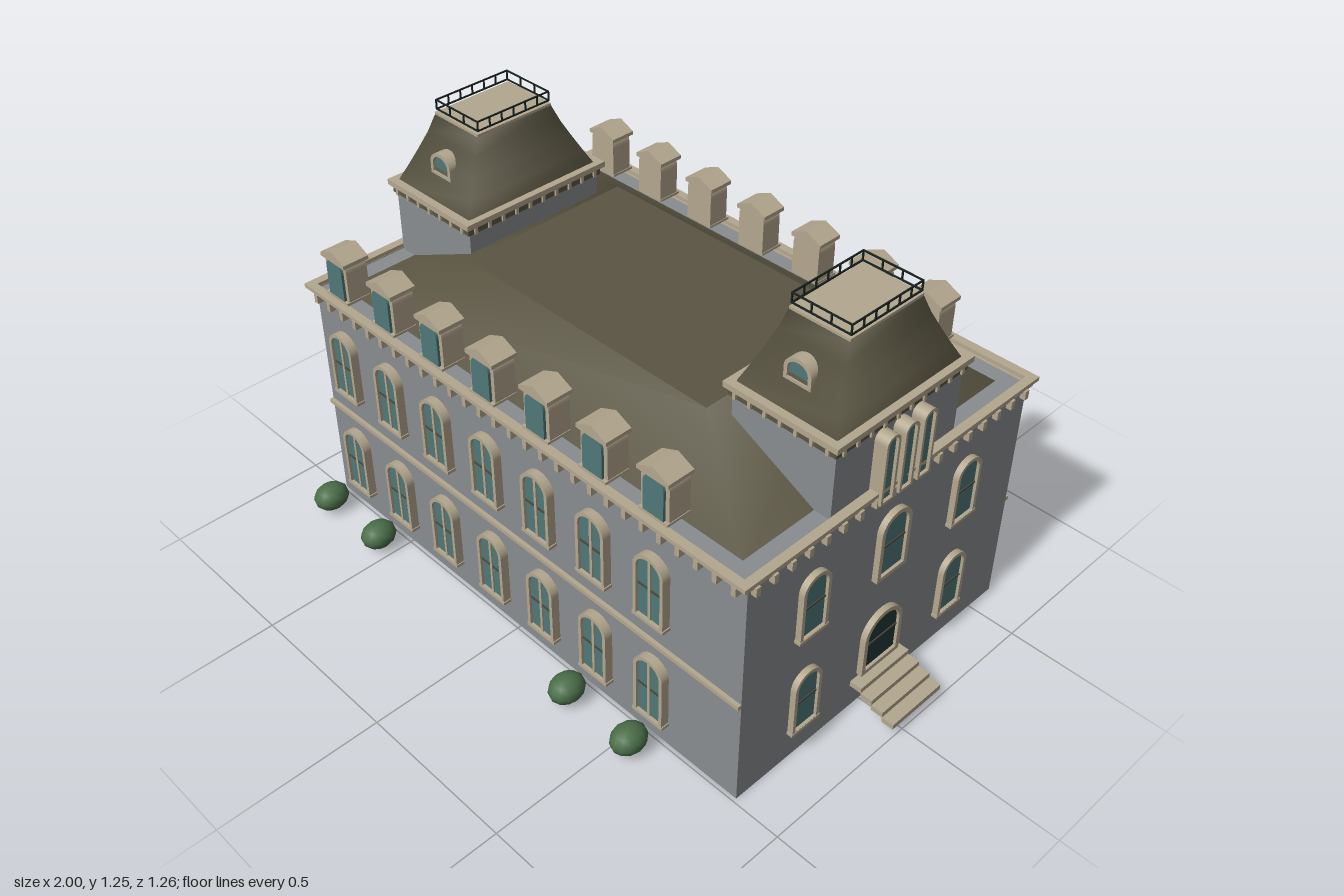
import * as THREE from 'three';

const mat = (name, color) => {
  const m = new THREE.MeshStandardMaterial({ color });
  m.name = name;
  return m;
};

export function createModel() {
  const wall = mat('wall grey', 0x8a8d90);
  const trim = mat('stone trim', 0xb3a78e);
  const roofMat = mat('roof brown', 0x5a5542);
  const glass = mat('window glass', 0x4f7878);
  const doorMat = mat('door dark', 0x223838);
  const iron = mat('iron', 0x18221f);
  const bar = mat('window bar', 0x4b4a3e);
  const leaf = mat('leaf green', 0x4a6e48);

  const model = new THREE.Group();
  model.name = 'mansion';
  // everything is symmetric about the middle of the building
  const house = new THREE.Group();
  house.name = 'house';
  house.position.z = -0.056;
  model.add(house);

  const add = (parent, name, geo, material, x = 0, y = 0, z = 0) => {
    const m = new THREE.Mesh(geo, material);
    m.name = name;
    m.position.set(x, y, z);
    parent.add(m);
    return m;
  };
  // box given by its bottom height
  const box = (parent, name, material, w, h, d, x, y, z) =>
    add(parent, name, new THREE.BoxGeometry(w, h, d), material, x, y + h / 2, z);
  const group = (parent, name, x = 0, y = 0, z = 0, turn = 0) => {
    const g = new THREE.Group();
    g.name = name;
    g.position.set(x, y, z);
    g.rotation.y = turn;
    parent.add(g);
    return g;
  };
  // rectangular ring of four bars: outer half sizes, bar thickness
  const ring = (parent, name, material, hx, hz, t, y, h) => {
    for (const s of [-1, 1]) {
      box(parent, name, material, hx * 2, h, t, 0, y, s * (hz - t / 2));
      box(parent, name, material, t, h, (hz - t) * 2, s * (hx - t / 2), y, 0);
    }
  };
  // blocks spaced round a rectangle
  const blocks = (parent, name, material, hx, hz, nx, nz, w, h, d, y) => {
    for (const s of [-1, 1]) {
      for (let i = 0; i < nx; i++)
        box(parent, name, material, w, h, d, -hx + (2 * hx * (i + 0.5)) / nx, y, s * hz);
      for (let i = 0; i < nz; i++)
        box(parent, name, material, d, h, w, s * hx, y, -hz + (2 * hz * (i + 0.5)) / nz);
    }
  };
  // hipped roof from rectangles [y, halfX, halfZ], sides smooth, flat top
  const hipRoof = (parent, name, rings) => {
    const pos = [], idx = [];
    for (const [y, x, z] of rings) pos.push(-x, y, z, x, y, z, x, y, -z, -x, y, -z);
    for (let r = 0; r < rings.length - 1; r++)
      for (let i = 0; i < 4; i++) {
        const a = r * 4 + i, b = r * 4 + ((i + 1) % 4);
        idx.push(a, b, b + 4, a, b + 4, a + 4);
      }
    const geo = new THREE.BufferGeometry();
    geo.setAttribute('position', new THREE.Float32BufferAttribute(pos, 3));
    geo.setIndex(idx);
    geo.computeVertexNormals();
    add(parent, name, geo, roofMat);
    const [y, x, z] = rings[rings.length - 1];
    const top = new THREE.PlaneGeometry(x * 2, z * 2).rotateX(-Math.PI / 2);
    add(parent, name + 'Top', top, roofMat, 0, y, 0);
  };

  // arched outline standing on y0
  const arch = (w, h, y0, Type = THREE.Shape) => {
    const s = new Type(), r = Math.min(w * 0.46, h * 0.5);
    s.moveTo(-w / 2, y0);
    s.lineTo(w / 2, y0);
    s.lineTo(w / 2, y0 + h - r);
    s.absellipse(0, y0 + h - r, w / 2, r, 0, Math.PI, false);
    s.lineTo(-w / 2, y0);
    return s;
  };
  const extrude = (shape, from, to) => new THREE.ExtrudeGeometry(shape,
    { depth: to - from, bevelEnabled: false, curveSegments: 10 }).translate(0, 0, from);

  // arched opening facing local +z, wall plane at z = 0
  const arched = (parent, name, x, y, z, turn, w, h, o = {}) => {
    const { depth = 0.02, back = 0, t = 0.011, pane = glass, upright = false, cross = true, sill = true } = o;
    const g = group(parent, name, x, y, z, turn);
    const frame = arch(w, h, 0);
    frame.holes.push(arch(w - 2 * t, h - 2 * t, t, THREE.Path));
    add(g, 'frame', extrude(frame, back, depth), trim);
    add(g, 'pane', extrude(arch(w - 2 * t, h - 2 * t, t), back, depth - 0.009), pane);
    if (cross) box(g, 'crossBar', bar, w - 2 * t, 0.006, 0.004, 0, h * 0.49, depth - 0.008);
    if (upright) box(g, 'mullion', trim, 0.009, h - 1.5 * t, 0.005, 0, t, depth - 0.007);
    if (sill) box(g, 'sill', trim, w + 0.006, 0.01, depth + 0.003, 0, 0, depth / 2);
    return g;
  };

  // main block, string courses and cornice
  const HX = 0.847, HZ = 0.544;
  box(house, 'walls', wall, HX * 2, 0.765, HZ * 2, 0, 0, 0);
  for (const s of [-1, 1]) box(house, 'stringCourse', trim, HX * 2, 0.013, 0.016, 0, 0.346, s * (HZ + 0.004));
  ring(house, 'cornice', trim, 0.864, 0.573, 0.027, 0.768, 0.012);
  ring(house, 'corniceBase', trim, 0.856, 0.56, 0.02, 0.753, 0.015);
  blocks(house, 'dentil', trim, 0.853, 0.556, 28, 18, 0.015, 0.028, 0.022, 0.73);

  // main roof
  hipRoof(house, 'mainRoof', [[0.765, 0.782, 0.492], [0.92, 0.46, 0.286]]);

  // long facades: two rows of windows and a row of dormers
  const gable = new THREE.Shape([[-0.054, 0], [0.054, 0], [0.054, 0.012], [0, 0.036], [-0.054, 0.012]]
    .map(([x, y]) => new THREE.Vector2(x, y)));
  for (const s of [1, -1]) {
    const turn = s > 0 ? 0 : Math.PI;
    for (let i = 0; i < 7; i++) {
      const x = -0.728 + i * 0.2122;
      for (const y of [0.075, 0.435])
        arched(house, 'facadeWindow', x, y, s * HZ, turn, 0.106, 0.226, { depth: 0.026, upright: true });
      const d = group(house, 'dormer', x, 0.783, s * 0.475, turn);
      add(d, 'dormerBody', extrude(arch(0.096, 0.148, 0), 0, 0.07), trim);
      add(d, 'dormerRoof', extrude(gable, -0.005, 0.08), trim, 0, 0.124, 0);
      add(d, 'dormerPane', extrude(arch(0.07, 0.122, 0.008), 0.06, 0.078), glass);
      box(d, 'dormerSill', trim, 0.1, 0.008, 0.078, 0, 0, 0.04);
      d.position.z = s * 0.475;
    }
  }

  // the two ends: windows, door, steps and tower
  for (const s of [1, -1]) {
    const turn = (s * Math.PI) / 2;
    for (const z of [-0.304, 0.304])
      for (const y of [0.098, 0.44])
        arched(house, 'endWindow', s * HX, y, z, turn, 0.103, 0.212, { depth: 0.018 });
    arched(house, 'middleWindow', s * HX, 0.447, 0, turn, 0.12, 0.218, { depth: 0.018, t: 0.013, sill: false });
    arched(house, 'door', s * HX, 0.113, 0, turn, 0.156, 0.198, { depth: 0.018, t: 0.014, pane: doorMat, sill: false });
    for (let i = 0; i < 4; i++)
      box(house, 'step', trim, 0.0385, 0.017, 0.204, s * (0.866 + i * 0.0383), 0.083 - i * 0.0165, 0);

    // tower
    const tower = group(house, 'tower', s * 0.668, 0, 0);
    box(tower, 'towerWalls', wall, 0.33, 0.24, 0.482, 0, 0.75, 0);
    box(tower, 'towerFrieze', roofMat, 0.344, 0.026, 0.5, 0, 0.963, 0);
    blocks(tower, 'towerBracket', trim, 0.172, 0.25, 7, 10, 0.01, 0.026, 0.012, 0.963);
    ring(tower, 'towerCornice', trim, 0.182, 0.26, 0.024, 0.987, 0.017);
    hipRoof(tower, 'mansard', [[0.99, 0.166, 0.241], [1.045, 0.143, 0.211], [1.1, 0.123, 0.182],
      [1.15, 0.106, 0.157], [1.2, 0.094, 0.136]]);
    box(tower, 'roofDeck', trim, 0.188, 0.01, 0.27, 0, 1.198, 0);
    for (const f of [1, -1])
      arched(tower, 'roofWindow', 0, 1.06, f * 0.185, f > 0 ? 0 : Math.PI, 0.086, 0.075,
        { depth: 0.017, back: -0.025, cross: false, sill: false });
    for (const z of [-0.0715, 0, 0.0715])
      arched(tower, 'towerWindow', s * 0.165, 0.742, z, turn, 0.052, 0.211,
        { depth: 0.04, t: 0.008, cross: false, sill: false });

    // iron railing
    const RX = 0.093, RZ = 0.132;
    for (const y of [1.215, 1.243]) ring(tower, 'rail', iron, RX, RZ, 0.004, y, 0.004);
    for (const f of [-1, 1]) {
      for (let i = 0; i <= 3; i++)
        box(tower, 'railPost', iron, 0.004, 0.03, 0.004, -0.091 + (i * 0.182) / 3, 1.215, f * 0.13);
      for (let i = 1; i < 6; i++)
        box(tower, 'railPost', iron, 0.004, 0.03, 0.004, f * 0.091, 1.215, -0.13 + (i * 0.26) / 6);
    }
  }

  // bushes along the front
  const bush = new THREE.SphereGeometry(1, 12, 8).scale(0.047, 0.042, 0.057);
  for (const x of [-0.79, -0.548, 0.3, 0.543]) add(house, 'bush', bush, leaf, x, 0.052, 0.635);

  return model;
}
